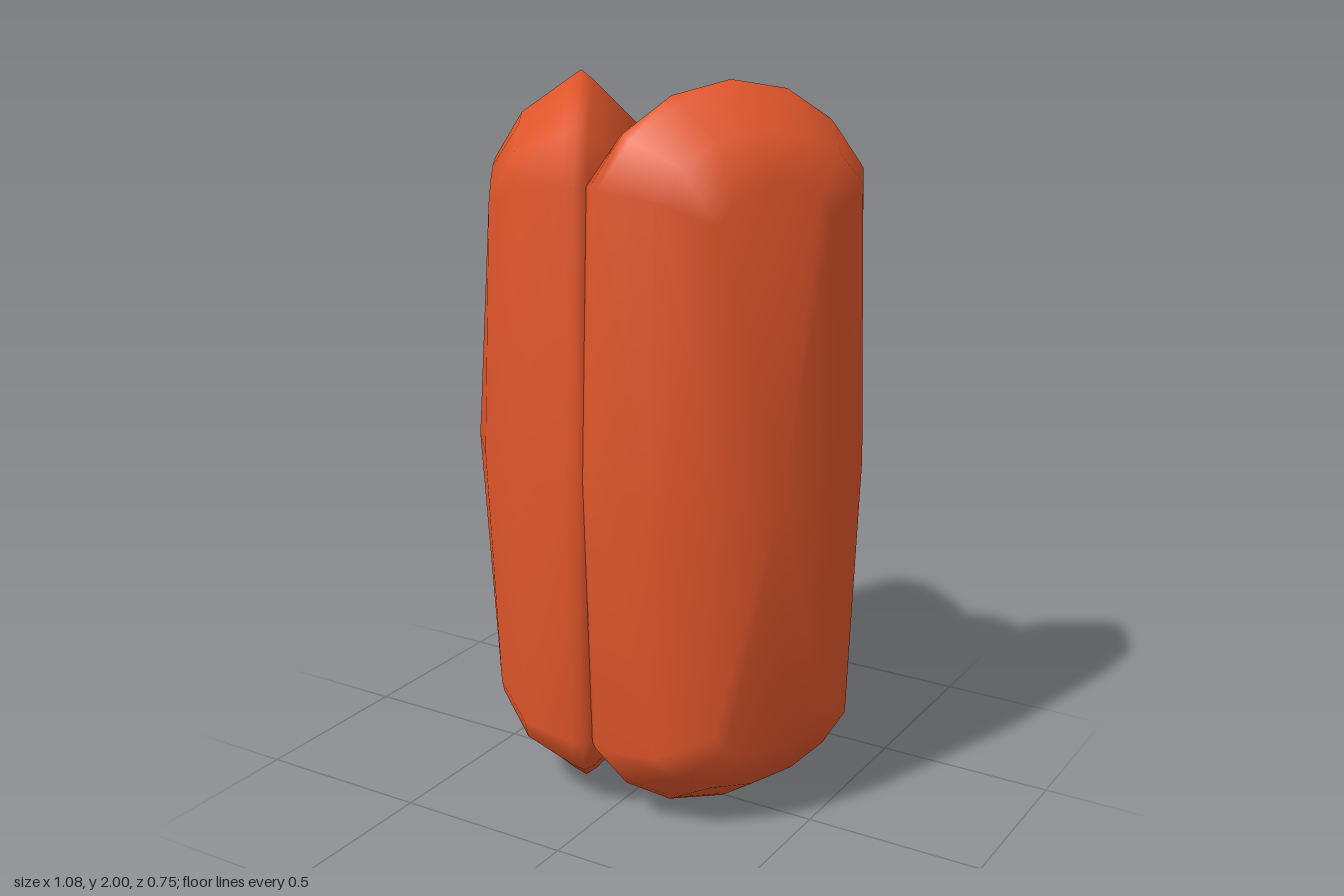
import * as THREE from 'three';

const bunMat = new THREE.MeshStandardMaterial({ color: 0xe0562b });
const sausageMat = new THREE.MeshStandardMaterial({ color: 0xe0905c });

// One bun half: rounded outlines stacked through the thickness, from flat cut face to domed back.
// Each level: [thickness, half width, half height, shoulder height, thickness lost toward the ends]
const LEVELS = [
  [0.047, 0.265, 0.86, 0.70, 0],
  [0.163, 0.415, 0.975, 0.755, 0],
  [0.195, 0.42, 1.0, 0.76, 0],
  [0.225, 0.415, 0.98, 0.755, 0],
  [0.368, 0.32, 0.89, 0.74, 0.015],
  [0.457, 0.175, 0.77, 0.68, 0.03],
];

// Rounded outline, counter-clockwise, as fractions of width and of the cap above the shoulder
function outline(hw, top, shoulder) {
  const quarter = [[1, 0], [0.94, shoulder], [0.72, shoulder + (top - shoulder) * 0.52],
    [0.4, shoulder + (top - shoulder) * 0.87], [0, top]].map(([w, y]) => [w * hw, y]);
  const upper = [...quarter, ...quarter.slice(0, 4).reverse().map(([w, y]) => [-w, y])];
  const lower = upper.slice(1, -1).map(([w, y]) => [-w, -y]);
  return [...upper, ...lower];
}

function bunHalf(side) {
  const pos = [], index = [];
  // Local width and thickness axes are turned 30 degrees so the halves open to the back
  const put = (w, y, t) => {
    w += 0.11;
    pos.push(side * (0.51 * w + 0.86 * t), y + 1, -0.86 * w + 0.51 * t);
  };
  const tri = (a, b, c) => (side > 0 ? index.push(a, b, c) : index.push(a, c, b));
  for (const [t, hw, top, shoulder, drop] of LEVELS) {
    for (const [w, y] of outline(hw, top, shoulder)) put(w, y, t - drop * Math.abs(y) / top);
  }
  const n = 16, last = LEVELS.length - 1;
  const inner = n * LEVELS.length, outer = inner + 1;
  put(0, 0, LEVELS[0][0]);
  put(0, 0, 0.489);
  for (let j = 0; j < n; j++) {
    const k = (j + 1) % n;
    for (let i = 0; i < last; i++) {
      const a = i * n + j, b = i * n + k;
      tri(a, b, b + n);
      tri(a, b + n, a + n);
    }
    tri(inner, k, j);
    tri(outer, last * n + j, last * n + k);
  }
  const geo = new THREE.BufferGeometry();
  geo.setAttribute('position', new THREE.Float32BufferAttribute(pos, 3));
  geo.setIndex(index);
  geo.computeVertexNormals();
  const mesh = new THREE.Mesh(geo, bunMat);
  mesh.name = side > 0 ? 'leftBunHalf' : 'rightBunHalf';
  return mesh;
}

export function createModel() {
  const group = new THREE.Group();
  group.name = 'hotDog';
  group.add(bunHalf(1), bunHalf(-1));

  // Sausage held between the halves
  const cap = [[0, 0.79], [0.1, 0.77], [0.18, 0.71], [0.235, 0.58]];
  const profile = [...cap.map(([r, y]) => [r, -y]), [0.25, 0], ...cap.slice().reverse()];
  const sausage = new THREE.Mesh(
    new THREE.LatheGeometry(profile.map(([r, y]) => new THREE.Vector2(r, y)), 18), sausageMat);
  sausage.name = 'sausage';
  sausage.position.set(0.03, 1, -0.05);
  group.add(sausage);
  return group;
}
